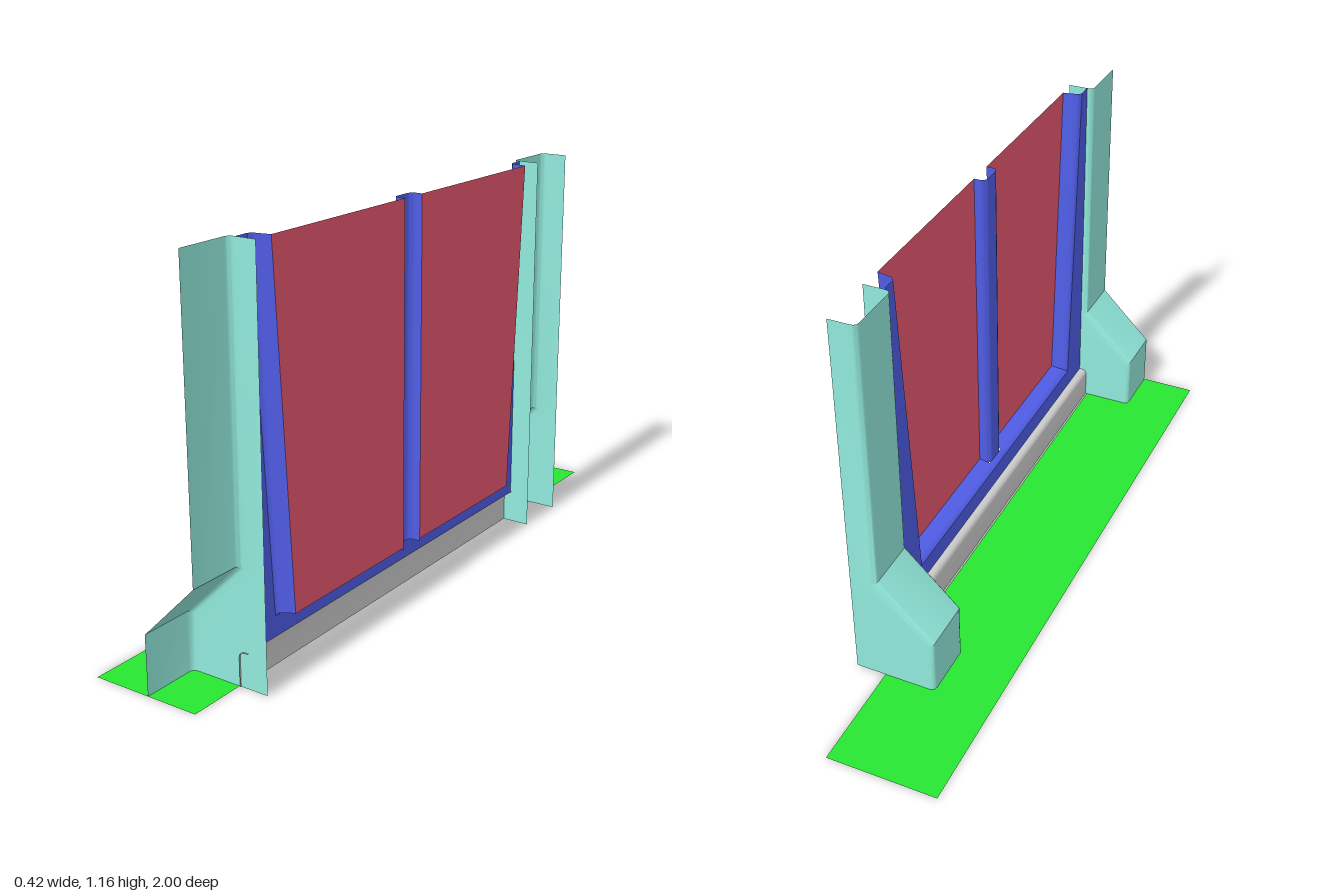
import * as THREE from 'three';
import { toCreasedNormals } from 'three/addons/utils/BufferGeometryUtils.js';

const TOP = 1.16;   // height of the wall section
const MID = 0.17;   // z of the window centre
const MUL = 0.041;  // half width of the central mullion

const paint = (color) => new THREE.MeshStandardMaterial({ color, side: THREE.DoubleSide });
const teal = paint(0x92eadc), blue = paint(0x505de6), red = paint(0xe85972);
const green = paint(0x28e632), grey = paint(0xcccccc);

// Skin a sheet across rows of [x, y, z] points; flip reverses the facing.
function loft(rows, flip = false) {
  const n = rows[0].length, index = [];
  for (let r = 0; r < rows.length - 1; r++) {
    for (let i = 0; i < n - 1; i++) {
      const a = r * n + i, b = a + 1, c = a + n, d = c + 1;
      if (flip) index.push(a, c, b, b, c, d);
      else index.push(a, b, c, b, d, c);
    }
  }
  const geo = new THREE.BufferGeometry();
  geo.setAttribute('position', new THREE.Float32BufferAttribute(rows.flat(2), 3));
  geo.setIndex(index);
  return toCreasedNormals(geo, 0.6);
}

function add(parent, name, geometry, material) {
  const mesh = new THREE.Mesh(geometry, material);
  mesh.name = name;
  parent.add(mesh);
  return mesh;
}

// Buttressed pillar shell, open at the back; rounded vertical edges on walled sides.
function pillarGeometry(z0, z1, wallAtZ1) {
  const R = 0.015;
  const front = (d, z) => [
    [-0.035 + d, 0, z], [-0.035 + d, 0.17 - 0.414 * d, z],
    [0.13 + d, 0.335 - 0.414 * d, z], [0.13 + d, TOP, z],
  ];
  const wallBack = (z) => front(R, z).map(([, y]) => [0.21, y, z]);
  const edge = (z, s) => [0, 1, 2, 3].map((i) => {
    const a = (i * Math.PI) / 6;
    return front(R * (1 - Math.sin(a)), z + s * R * (1 - Math.cos(a)));
  });
  const rows = [wallBack(z0), ...edge(z0, 1)];
  if (wallAtZ1) rows.push(...edge(z1, -1).reverse(), wallBack(z1));
  else rows.push(front(0, z1));
  return loft(rows, true);
}

export function createModel() {
  const model = new THREE.Group();
  model.name = 'wallSection';

  // Pavement strip
  const pavement = add(model, 'pavement', new THREE.PlaneGeometry(0.33, 2), green);
  pavement.rotation.x = -Math.PI / 2;
  pavement.position.x = -0.045;

  // Pillars: a whole one and one left open at the section's end
  add(model, 'wholePillar', pillarGeometry(-0.67, -0.495, true), teal);
  add(model, 'endPillar', pillarGeometry(0.83, 1, false), teal);

  // Plinth under the window, with a rounded top edge
  const plinth = [[0.125, 0], [0.125, 0.085], [0.127, 0.0925], [0.1325, 0.098], [0.14, 0.1], [0.152, 0.1]];
  add(model, 'plinth', loft([-0.495, 0.835].map((z) => plinth.map(([x, y]) => [x, y, z]))), grey);

  const window = new THREE.Group();
  window.name = 'window';
  window.position.z = MID;
  model.add(window);

  // Frame rings: x, half width at top, half width at bottom, bottom height
  const rings = [
    [0.15, 0.66, 0.66, 0.1], [0.15, 0.617, 0.547, 0.158], [0.157, 0.607, 0.54, 0.165],
    [0.17, 0.604, 0.538, 0.168], [0.205, 0.597, 0.534, 0.174],
  ];
  for (const s of [1, -1]) {
    const side = s > 0 ? 'left' : 'right';
    const rows = rings.map(([x, t, b, y]) => [[x, TOP, s * t], [x, y, s * b], [x, y, s * MUL]]);
    add(window, side + 'Frame', loft(rows, s > 0), blue);

    // Glass, tapering toward the bottom
    const [x, t, b, y] = rings[4];
    add(window, side + 'Pane', loft([
      [[x, TOP, s * t], [x, y, s * b]],
      [[x, TOP, s * MUL], [x, y, s * MUL]],
    ], s > 0), red);
  }

  // Frame piece below the mullion
  add(window, 'frameCentre', loft(rings.slice(0, 4).map(([x, , , y]) =>
    [[x, y, MUL], [x, y, -MUL]]), true), blue);

  // Mullion: a rounded channel standing proud of the glass
  const section = [[0.205, -MUL]];
  for (const s of [-1, 1]) {
    for (let i = 0; i <= 3; i++) {
      const a = ((s < 0 ? i : 3 - i) * Math.PI) / 6;
      section.push([0.187 - 0.018 * Math.sin(a), s * (MUL - 0.018 + 0.018 * Math.cos(a))]);
    }
  }
  section.push([0.205, MUL]);
  add(window, 'mullion', loft([0.166, TOP].map((y) => section.map(([x, z]) => [x, y, z])), false), blue);

  return model;
}
